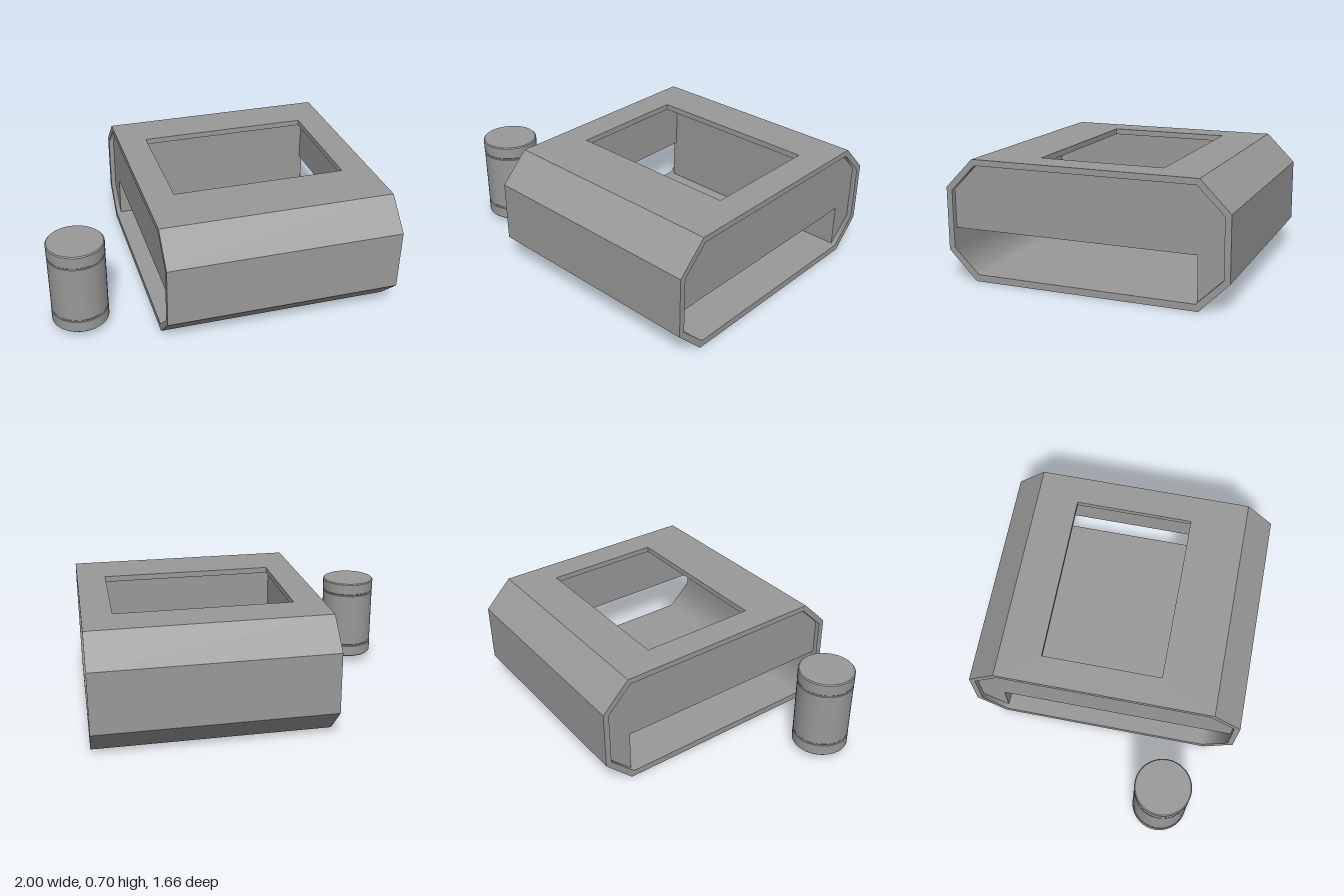
import * as THREE from 'three';
import { toCreasedNormals } from 'three/addons/utils/BufferGeometryUtils.js';

const grey = new THREE.MeshStandardMaterial({ color: 0x999999 });
grey.name = 'plain grey';

// Extrudes a (z, y) profile along x from x0 to x1
function extrudeX(profile, x0, x1) {
  const shape = new THREE.Shape(profile.map(([z, y]) => new THREE.Vector2(-z, y)));
  return new THREE.ExtrudeGeometry(shape, { depth: x1 - x0, bevelEnabled: false })
    .rotateY(Math.PI / 2)
    .translate(x0, 0, 0);
}

function rectangle(PathType, x0, x1, z0, z1) {
  return new PathType([[x0, -z1], [x1, -z1], [x1, -z0], [x0, -z0]].map(([x, y]) => new THREE.Vector2(x, y)));
}

export function createModel() {
  const model = new THREE.Group();
  const add = (name, geometry, parent = model) => {
    const mesh = new THREE.Mesh(geometry, grey);
    mesh.name = name;
    parent.add(mesh);
    return mesh;
  };
  const box = new THREE.Group();
  box.name = 'housing';
  model.add(box);

  // Octagonal sleeve, left open along the top for the lid
  const outer = [[0.66, 0.705], [0.83, 0.535], [0.83, 0.17], [0.66, 0]];
  const inner = [[0.645, 0.67], [0.795, 0.52], [0.795, 0.185], [0.645, 0.04]];
  const mirror = (points) => points.map(([z, y]) => [-z, y]).reverse();
  const sleeve = extrudeX([
    [0.645, 0.705], ...outer, ...mirror(outer), [-0.645, 0.705],
    ...mirror(inner).reverse(), ...inner.slice().reverse(),
  ], -0.4, 1);

  // Inner chamfers blend smoothly into the walls and floor
  const p = sleeve.attributes.position, n = sleeve.attributes.normal;
  for (let i = 0; i < p.count; i++) {
    const y = p.getY(i) - 0.35, z = p.getZ(i), ny = n.getY(i), nz = n.getZ(i);
    if (Math.min(Math.abs(ny), Math.abs(nz)) > 0.5 && ny * y + nz * z < 0) {
      if (Math.abs(z) > 0.75) n.setXYZ(i, 0, 0, -Math.sign(z));
      else n.setXYZ(i, 0, -Math.sign(y), 0);
    }
  }
  add('sleeve', sleeve, box);

  // Lid with its rectangular opening
  const lid = rectangle(THREE.Shape, -0.4, 1, -0.645, 0.645);
  lid.holes.push(rectangle(THREE.Path, -0.225, 0.825, -0.405, 0.32));
  add('lid', new THREE.ExtrudeGeometry(lid, { depth: 0.035, bevelEnabled: false })
    .rotateX(-Math.PI / 2).translate(0, 0.67, 0), box);

  // Recessed end panels, cut away at the bottom
  const panel = [
    [0.645, 0.67], [0.795, 0.52], [0.795, 0.295], [-0.645, 0.295],
    [-0.645, 0.04], [-0.795, 0.185], [-0.795, 0.52], [-0.645, 0.67],
  ];
  add('rightEndPanel', extrudeX(panel, -0.37, -0.35), box);
  add('leftEndPanel', extrudeX(panel, 0.95, 0.97), box);

  // Upright wall between the end panels
  add('rearInnerWall', new THREE.BoxGeometry(1.3, 0.63, 0.02).translate(0.3, 0.355, -0.655), box);

  // Separate canister with a groove below the top cap and above the base cap
  const half = [[0, 0], [0.162, 0], [0.168, 0.006], [0.168, 0.073], [0.164, 0.077], [0.164, 0.083], [0.167, 0.087]];
  const profile = [...half, ...half.map(([r, y]) => [r, 0.52 - y]).reverse()];
  const lathe = new THREE.LatheGeometry(profile.map(([r, y]) => new THREE.Vector2(r, y)), 40);
  add('canister', toCreasedNormals(lathe, 0.5)).position.set(-0.832, 0.045, 0.438);

  return model;
}
